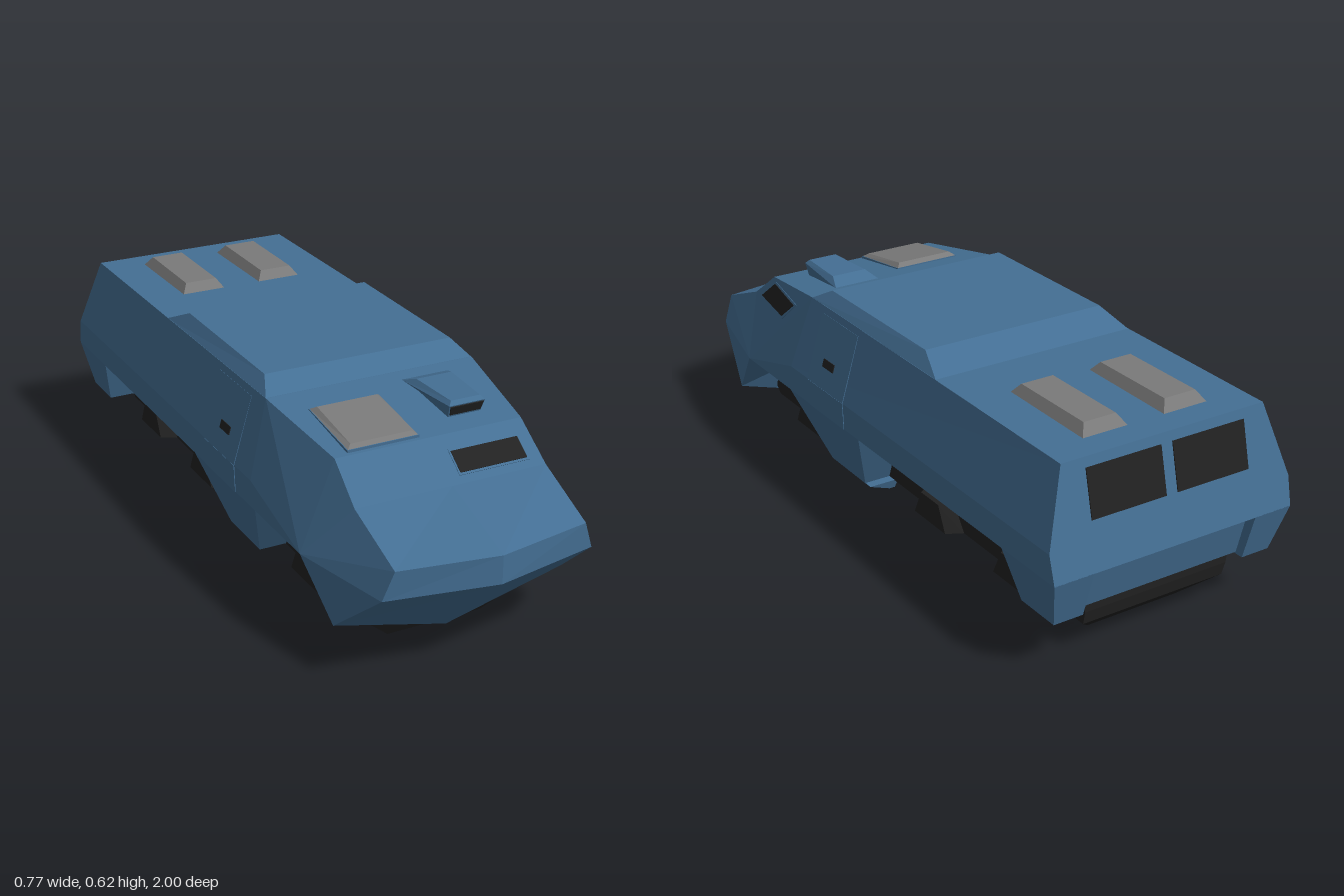
import * as THREE from 'three';

const mat = (name, color) => {
  const m = new THREE.MeshStandardMaterial({ color });
  m.name = name;
  return m;
};

// Flat-shaded mesh from a list of convex polygons, corners counter-clockwise from outside
function polyMesh(name, polys, material) {
  const pos = [];
  for (const p of polys)
    for (let i = 1; i < p.length - 1; i++) pos.push(...p[0], ...p[i], ...p[i + 1]);
  const g = new THREE.BufferGeometry();
  g.setAttribute('position', new THREE.Float32BufferAttribute(pos, 3));
  g.computeVertexNormals();
  const mesh = new THREE.Mesh(g, material);
  mesh.name = name;
  return mesh;
}

// Closed solid through rings of equal length, stacked from bottom to top
function loft(name, rings, material) {
  const polys = [[...rings[0]].reverse(), rings[rings.length - 1]];
  for (let r = 0; r < rings.length - 1; r++) {
    const a = rings[r], b = rings[r + 1];
    a.forEach((_, i) => {
      const j = (i + 1) % a.length;
      polys.push([a[i], a[j], b[j], b[i]]);
    });
  }
  return polyMesh(name, polys, material);
}

const mirror = (pts) => pts.map(([x, y, z]) => [-x, y, z]).reverse();

// Rectangular ring; yb is the height at the rear edge when the ring slopes
const rect = (x0, x1, z0, z1, y, yb = y) => [[x0, y, z1], [x1, y, z1], [x1, yb, z0], [x0, yb, z0]];

// Thin plate lying on a surface, raised by lift
function plate(name, pts, lift, material) {
  const v = pts.map((p) => new THREE.Vector3(...p));
  const n = v[1].clone().sub(v[0]).cross(v[2].clone().sub(v[0])).normalize();
  const at = (d) => v.map((p) => p.clone().addScaledVector(n, d).toArray());
  return loft(name, [at(-0.001), at(lift)], material);
}

export function createModel() {
  const blue = mat('blue armour', 0x446f94);
  const black = mat('black', 0x222222);
  const grey = mat('grey hatch', 0x7a7a7a);
  const model = new THREE.Group();
  model.name = 'armouredCarrier';
  const add = (...m) => model.add(...m);

  // Hull corners, left half
  const Rb = [0.32, 0.567, -0.93], Ra = [0.32, 0.577, 0.31], Rw = [0.28, 0.528, 0.63];
  const Rh = [0.285, 0.44, 0.75], Rn = [0.28, 0.36, 0.95], N = [0.31, 0.278, 0.94];
  const Wb = [0.383, 0.36, -0.98], Wa = [0.383, 0.36, 0.34];
  const Cb = [0.38, 0.278, -1], Cf = [0.38, 0.278, 0.63], L = [0.35, 0.125, 0.76];
  // Hull corners on the centre line
  const mid = (p) => [0, p[1], p[2]];
  const Rn0 = [0, 0.36, 1], N0 = [0, 0.278, 1], M0 = [0, 0.025, 0.74];
  const half = [
    [Wa, Wb, Rb, Ra], [Cf, Cb, Wb, Wa],
    [Cf, Wa, Ra], [Cf, Ra, Rw], [Cf, Rw, Rh], [Cf, Rh, Rn], [Cf, Rn, N], [Cf, N, L],
    [N0, N, Rn, Rn0], [M0, L, N, N0],
    [Rn0, Rn, Rh, mid(Rh)], [mid(Rh), Rh, Rw, mid(Rw)],
    [mid(Rw), Rw, Ra, mid(Ra)], [mid(Ra), Ra, Rb, mid(Rb)],
    [Cb, mid(Cb), mid(Rb), Rb, Wb],
    [mid(Cb), Cb, Cf, mid(Cf)], [L, M0, mid(Cf), Cf],
  ];
  add(polyMesh('hull', [...half, ...half.map(mirror)], blue));

  // Raised roof
  add(loft('raisedRoof', [rect(-0.32, 0.32, -0.37, 0.31, 0.576, 0.57), rect(-0.29, 0.29, -0.27, 0.24, 0.615)], blue));

  // Recessed rear ramp between the rear corner skirts
  add(loft('rearRamp', [rect(-0.27, 0.27, -0.935, -0.82, 0.145), rect(-0.27, 0.27, -0.97, -0.77, 0.279)], blue));

  // Side skirts and doors
  const doorPanels = [
    [[0.383, 0.36, 0.235], [0.383, 0.36, 0.03], [0.325, 0.555, 0.03], [0.325, 0.555, 0.235]],
    [[0.38, 0.278, 0.235], [0.38, 0.278, 0.03], [0.383, 0.36, 0.03], [0.383, 0.36, 0.235]],
  ];
  const slit = [[0.366, 0.42, 0.17], [0.366, 0.42, 0.11], [0.359, 0.443, 0.11], [0.359, 0.443, 0.17]];
  const skirt = [rect(0.22, 0.31, 0.04, 0.235, 0.08), rect(0.22, 0.38, -0.05, 0.36, 0.279)];
  const cornerSkirt = [rect(0.26, 0.35, -0.96, -0.82, 0.14), rect(0.26, 0.38, -1, -0.77, 0.279)];
  for (const [side, flip] of [['left', (p) => p], ['right', mirror]]) {
    add(loft(side + 'Skirt', skirt.map(flip), blue));
    add(loft(side + 'RearSkirt', cornerSkirt.map(flip), blue));
    doorPanels.forEach((p) => add(plate(side + 'Door', flip(p), 0.002, blue)));
    add(plate(side + 'DoorSlit', flip(slit), 0.004, black));
  }
  add(loft('leftStep', [rect(0.222, 0.24, 0.02, 0.08, 0.052), rect(0.215, 0.31, 0.01, 0.19, 0.081)], blue));

  // Black lower hull with wheel housings
  add(loft('lowerHull', [
    rect(-0.145, 0.145, -0.83, 0.68, 0),
    rect(-0.228, 0.228, -0.92, 0.73, 0.08),
    rect(-0.231, 0.231, -0.93, 0.76, 0.12),
    rect(-0.245, 0.245, -0.94, 0.68, 0.281),
  ], black));
  for (const z of [0.445, -0.26, -0.66]) {
    const arch = (x, a, b, top) =>
      [[x, 0.08, z + a], [x, 0.08, z - a], [x, top, z - b], [x, top, z + b]];
    add(loft('wheelHousing', [
      arch(-0.275, 0.08, 0.045, 0.155), arch(-0.228, 0.105, 0.058, 0.172),
      arch(0.228, 0.105, 0.058, 0.172), arch(0.275, 0.08, 0.045, 0.155),
    ], black));
  }

  // Windscreen, left side window and rear windows
  const screen = (x0, x1, y0, y1) => {
    const z = (y) => 0.75 - (y - 0.44) * 1.364;
    return [[x0, y0, z(y0)], [x1, y0, z(y0)], [x1, y1, z(y1)], [x0, y1, z(y1)]];
  };
  add(plate('windscreenFrame', screen(0.032, 0.245, 0.454, 0.502), 0.0015, blue));
  add(plate('windscreen', screen(0.037, 0.241, 0.458, 0.497), 0.003, black));
  const sideGlass = (list) => list.map(([z, y]) => [0.38 - 0.4 * (y - 0.278) - 0.188 * (z - 0.63), y, z]);
  add(plate('sideWindowFrame', sideGlass([[0.69, 0.45], [0.475, 0.455], [0.4, 0.522], [0.6, 0.522]]), 0.002, blue));
  add(plate('sideWindow', sideGlass([[0.675, 0.456], [0.48, 0.462], [0.415, 0.516], [0.6, 0.516]]), 0.004, black));
  for (const [x0, x1] of [[-0.25, -0.018], [0.018, 0.25]])
    add(plate('rearWindow', [[x1, 0.41, -0.968], [x0, 0.41, -0.968], [x0, 0.54, -0.9365], [x1, 0.54, -0.9365]], 0.003, black));

  // Roof hatches
  for (const x of [-0.13, 0.125]) {
    add(loft('rearHatch', [
      rect(x - 0.07, x + 0.07, -0.85, -0.53, 0.567),
      rect(x - 0.05, x + 0.05, -0.825, -0.555, 0.597),
    ], grey));
  }
  add(loft('frontHatchBase', [rect(-0.238, -0.026, 0.4, 0.62, 0.528, 0.556), rect(-0.238, -0.026, 0.4, 0.62, 0.537, 0.566)], blue));
  add(loft('frontHatch', [rect(-0.236, -0.028, 0.402, 0.618, 0.537, 0.566), rect(-0.222, -0.042, 0.418, 0.606, 0.547, 0.576)], grey));

  // Periscope housing, narrowing to the front
  const ring = (xb, xf, zb, zf, y, yb) =>
    [[0.145 - xf, y, zf], [0.145 + xf, y, zf], [0.145 + xb, yb, zb], [0.145 - xb, yb, zb]];
  add(loft('periscope', [
    ring(0.06, 0.05, 0.37, 0.56, 0.535, 0.556),
    ring(0.073, 0.055, 0.35, 0.575, 0.575, 0.57),
    ring(0.055, 0.045, 0.4, 0.565, 0.586, 0.588),
  ], blue));
  add(plate('periscopeSlit', [[0.098, 0.546, 0.5645], [0.192, 0.546, 0.5645], [0.196, 0.572, 0.574], [0.094, 0.572, 0.574]], 0.003, black));

  return model;
}
